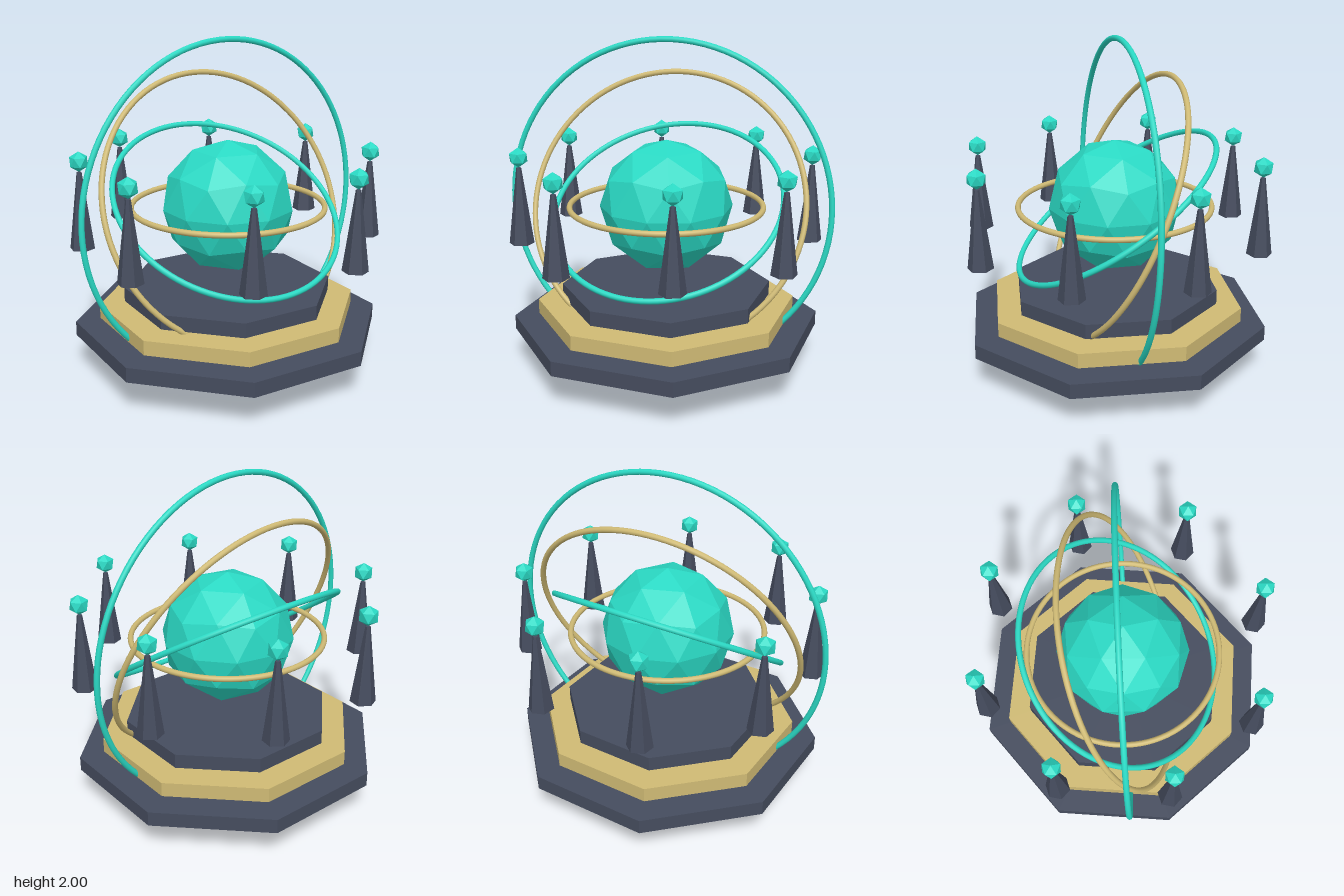
import * as THREE from 'three';

const flat = (color) => new THREE.MeshStandardMaterial({ color, flatShading: true });
const smooth = (color) => new THREE.MeshStandardMaterial({ color });

const DARK = 0x454c5e, TEAL = 0x2ad9c4, GOLD = 0xcfba74;
const CENTRE_Y = 1;

// Icosphere standing on one of its five-fold corners
function icosphere(radius, detail) {
  const g = new THREE.IcosahedronGeometry(radius, detail);
  g.rotateX(-Math.atan((1 + Math.sqrt(5)) / 2));
  g.rotateY(Math.PI / 2);
  return g;
}

export function createModel() {
  const model = new THREE.Group();
  model.name = 'armillarySphere';

  const add = (parent, name, geometry, material, x, y, z) => {
    const mesh = new THREE.Mesh(geometry, material);
    mesh.name = name;
    mesh.position.set(x, y, z);
    parent.add(mesh);
    return mesh;
  };

  const darkFlat = flat(DARK), tealFlat = flat(TEAL), goldFlat = flat(GOLD);
  const tealSmooth = smooth(TEAL), goldSmooth = smooth(GOLD);

  // Three stepped octagonal tiers: radius, centre height, material
  const tiers = [
    ['lowerTier', 0.935, 0.257, darkFlat],
    ['middleTier', 0.787, 0.361, goldFlat],
    ['upperTier', 0.636, 0.462, darkFlat],
  ];
  for (const [name, r, y, mat] of tiers) {
    add(model, name, new THREE.CylinderGeometry(r, r, 0.088, 8), mat, 0, y, 0);
  }

  // Faceted core
  add(model, 'core', icosphere(0.4, 1), tealFlat, 0, CENTRE_Y, 0);

  // Orbit rings: radius, axis, material
  const rings = [
    ['horizontalRing', 0.58, [0, 1, 0], goldSmooth],
    ['tiltedRing', 0.705, [0.515, 0.831, 0.21], tealSmooth],
    ['steepRing', 0.835, [0.872, 0.42, 0.253], goldSmooth],
    ['outerRing', 0.983, [0.957, 0.036, 0.287], tealSmooth],
  ];
  const zAxis = new THREE.Vector3(0, 0, 1);
  for (const [name, r, axis, mat] of rings) {
    const ring = add(model, name, new THREE.TorusGeometry(r, 0.017, 10, 96), mat, 0, CENTRE_Y, 0);
    ring.quaternion.setFromUnitVectors(zAxis, new THREE.Vector3(...axis).normalize());
  }

  // Eight floating spikes, each topped by a small gem
  const spikeGeometry = new THREE.CylinderGeometry(0.015, 0.075, 0.466, 6);
  const gemGeometry = icosphere(0.06, 0);
  for (let i = 0; i < 8; i++) {
    const a = (i * Math.PI) / 4;
    const pylon = new THREE.Group();
    pylon.name = 'pylon';
    pylon.position.set(0.873 * Math.sin(a), 0, 0.873 * Math.cos(a));
    add(pylon, 'spike', spikeGeometry, darkFlat, 0, 1.005, 0);
    add(pylon, 'gem', gemGeometry, tealFlat, 0, 1.3, 0);
    model.add(pylon);
  }

  return model;
}
